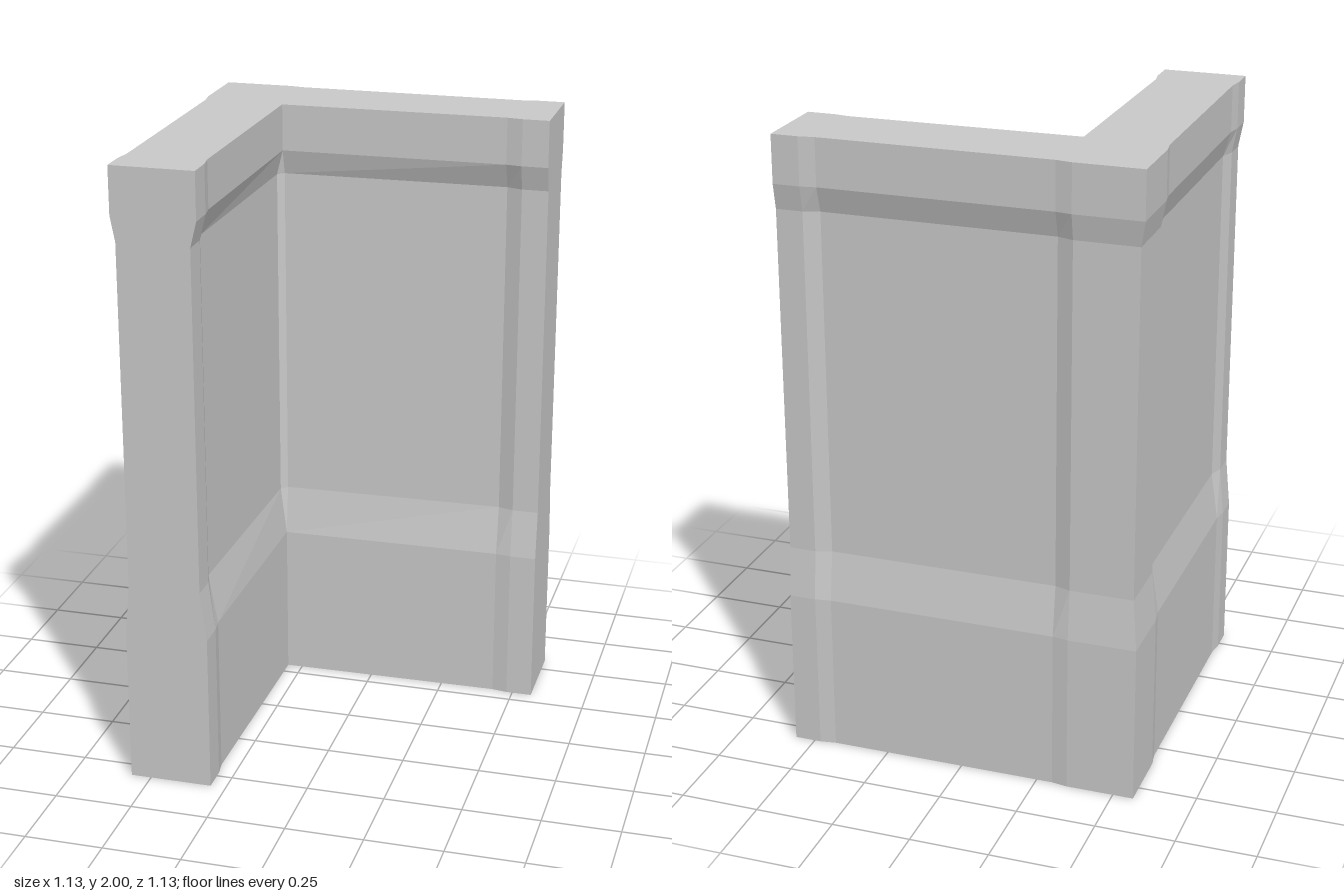
import * as THREE from 'three';

const END = 0.565;

// Heights with outer face, inner face and panel recess depth
const LEVELS = [
  { y: 0, outer: 0.565, inner: 0.3, recess: 0.008 },
  { y: 0.51, outer: 0.565, inner: 0.3, recess: 0.008 },
  { y: 0.67, outer: 0.55, inner: 0.32, recess: 0.016 },
  { y: 1.77, outer: 0.55, inner: 0.32, recess: 0.016 },
  { y: 1.85, outer: 0.565, inner: 0.3, recess: 0.008 },
  { y: 2, outer: 0.565, inner: 0.3, recess: 0.008 },
];

// L-shaped plan: the back arm, then its mirror image across the diagonal
function plan({ outer, inner, recess }) {
  const arm = [
    [-outer, -outer], [-0.35, -outer], [-0.3, recess - outer],
    [0.43, recess - outer], [0.48, -outer], [END, -outer],
    [END, -inner], [0.48, -inner], [0.43, -inner - recess],
    [-0.3, -inner], // chamfered inner corner
  ];
  const mirrored = arm.slice(1).reverse().map(([x, z]) => [z, x]);
  return [...arm, ...mirrored];
}

function wallGeometry() {
  const positions = [];
  const triangle = (...corners) => corners.forEach((c) => positions.push(...c));
  const rings = LEVELS.map((level) => plan(level).map(([x, z]) => [x, level.y, z]));

  // Side faces between neighbouring cross-sections
  for (let i = 0; i < rings.length - 1; i++) {
    const low = rings[i], high = rings[i + 1], n = low.length;
    for (let k = 0; k < n; k++) {
      const m = (k + 1) % n;
      triangle(low[k], high[k], low[m]);
      triangle(low[m], high[k], high[m]);
    }
  }

  // Bottom and top caps, turned to face outwards
  const cap = (ring, up) => {
    const contour = ring.map(([x, , z]) => new THREE.Vector2(x, z));
    for (const [a, b, c] of THREE.ShapeUtils.triangulateShape(contour, [])) {
      const facesUp = THREE.ShapeUtils.area([contour[a], contour[b], contour[c]]) < 0;
      if (facesUp === up) triangle(ring[a], ring[b], ring[c]);
      else triangle(ring[a], ring[c], ring[b]);
    }
  };
  cap(rings[0], false);
  cap(rings[rings.length - 1], true);

  const geometry = new THREE.BufferGeometry();
  geometry.setAttribute('position', new THREE.Float32BufferAttribute(positions, 3));
  geometry.computeVertexNormals();
  return geometry;
}

export function createModel() {
  const model = new THREE.Group();
  model.name = 'cornerWall';
  const material = new THREE.MeshStandardMaterial({ color: 0xcccccc, flatShading: true });
  const wall = new THREE.Mesh(wallGeometry(), material);
  wall.name = 'wall';
  model.add(wall);
  return model;
}
